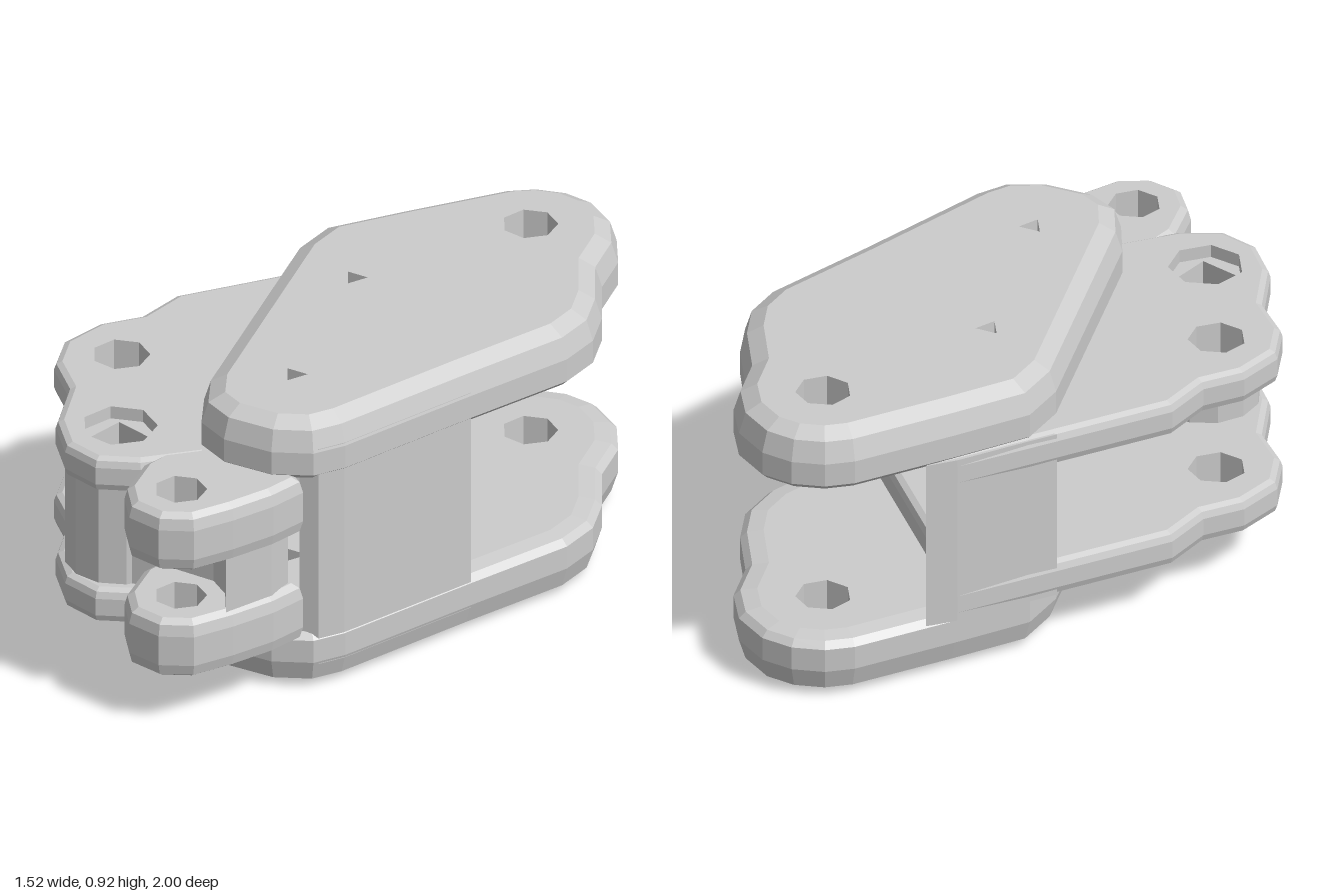
import * as THREE from 'three';

const MID = 0.465; // height of the horizontal mirror plane
const grey = new THREE.MeshStandardMaterial({ color: 0xcccccc, flatShading: true });

// Horizontal slab from an (x, z) outline; holes are [x, z, radius, sides].
function slab(name, outline, y0, y1, { holes = [], size = 0, thick = 0, inner = 1 } = {}) {
  const points = outline.map(([x, z]) => new THREE.Vector2(x, z));
  if (THREE.ShapeUtils.isClockWise(points)) points.reverse();
  const shape = new THREE.Shape(points);
  for (const [hx, hz, r, n] of holes) {
    const pts = [];
    for (let i = 0; i < n; i++) {
      const a = -(i / n) * Math.PI * 2 - 0.4;
      pts.push(new THREE.Vector2(hx + r * Math.cos(a), hz + r * Math.sin(a)));
    }
    shape.holes.push(new THREE.Path(pts));
  }
  const geo = new THREE.ExtrudeGeometry(shape, {
    depth: y1 - y0 - 2 * thick, bevelEnabled: size > 0, bevelSize: size,
    bevelOffset: -size, bevelThickness: thick, bevelSegments: 2,
  });
  geo.rotateX(Math.PI / 2).translate(0, y1 - thick, 0);

  const p = geo.attributes.position;
  const innerY = y0 > MID ? y0 : y1;
  for (let i = 0; i < p.count; i++) {
    // keep the bores straight
    for (const [hx, hz, r, n] of holes) {
      const dx = p.getX(i) - hx, dz = p.getZ(i) - hz, d = Math.hypot(dx, dz);
      if (d < r + size * 1.04 / Math.cos(Math.PI / n)) {
        p.setXYZ(i, hx + dx / d * r, p.getY(i), hz + dz / d * r);
      }
    }
    // flatten the bevel on the side that faces the middle
    const off = p.getY(i) - innerY;
    if (Math.abs(off) <= thick + 1e-5) p.setY(i, innerY + off * inner);
  }
  geo.computeVertexNormals();
  const mesh = new THREE.Mesh(geo, grey);
  mesh.name = name;
  return mesh;
}

export function createModel() {
  const model = new THREE.Group();
  model.name = 'hingeBracket';

  const cover = [
    [-0.2, -0.53], [-0.02, -0.71], [0.22, -0.94], [0.3, -0.985], [0.4, -1.0], [0.5, -0.975], [0.6, -0.89],
    [0.655, -0.77], [0.665, -0.62], [0.735, -0.45], [0.76, -0.32], [0.73, -0.19], [0.545, 0.12],
    [0.31, 0.53], [0.24, 0.61], [0.12, 0.65], [-0.04, 0.635], [-0.14, 0.57], [-0.185, 0.44], [-0.235, -0.38],
  ];
  const sidePlate = [
    [0.05, -0.77], [-0.03, -0.71], [-0.2, -0.55], [-0.55, -0.22], [-0.6, -0.07], [-0.7, 0.02], [-0.76, 0.16],
    [-0.735, 0.29], [-0.64, 0.41], [-0.6, 0.6], [-0.52, 0.72], [-0.4, 0.77], [-0.27, 0.73],
    [-0.12, 0.62], [0.1, 0.62], [0.27, 0.55], [0.53, 0.11], [0.42, -0.05], [0.14, -0.45],
  ];
  const lug = [
    [-0.27, 0.72], [-0.265, 0.87], [-0.21, 0.965], [-0.1, 1.0], [0.0, 0.965], [0.085, 0.86],
    [0.165, 0.74], [0.215, 0.63], [0.12, 0.54], [-0.2, 0.54],
  ];
  const pins = [[0.02, -0.24, 0.04, 3], [0.07, 0.35, 0.04, 3]];

  // Parts that come in pairs, one above and one below the mirror plane
  for (const top of [true, false]) {
    const tag = top ? 'upper' : 'lower';
    const pair = (name, outline, lo, hi, opts) => model.add(slab(tag + name, outline,
      top ? lo : 2 * MID - hi, top ? hi : 2 * MID - lo, opts));
    pair('Cover', cover, 0.725, 0.925,
      { holes: [[0.385, -0.73, 0.085, 7], ...pins], size: 0.07, thick: 0.095, inner: 0.3 });
    pair('SidePlate', sidePlate, 0.635, 0.752,
      { holes: [[-0.565, 0.175, 0.088, 7], [-0.41, 0.56, 0.115, 7], ...pins], size: 0.025, thick: 0.03 });
    pair('FrontLug', lug, 0.55, 0.75,
      { holes: [[-0.1, 0.83, 0.08, 7]], size: 0.03, thick: 0.05 });
  }

  // Upright walls that join the two halves
  model.add(slab('rightWall', [
    [0.19, 0.6], [0.25, 0.595], [0.307, 0.53], [0.545, 0.115], [0.5, 0.05], [0.42, 0.04], [0.27, 0.28],
    [0.2, 0.43],
  ], 0.09, 0.84));
  model.add(slab('backWall', [
    [0.05, -0.77], [-0.03, -0.71], [-0.2, -0.545], [-0.27, -0.48], [-0.2, -0.475],
    [-0.13, -0.51], [-0.03, -0.6], [0.05, -0.7],
  ], 0.18, 0.745));
  model.add(slab('lugWall', [
    [-0.48, 0.69], [-0.2, 0.69], [-0.04, 0.715], [0.02, 0.77], [0.06, 0.86], [0.15, 0.72],
    [0.17, 0.64], [0.1, 0.59], [-0.28, 0.59], [-0.3, 0.66],
  ], 0.25, 0.68));

  // Hollow spool between the side plates
  const ring = Array.from({ length: 12 }, (_, i) => {
    const a = i / 12 * Math.PI * 2;
    return [-0.41 + 0.165 * Math.cos(a), 0.56 + 0.165 * Math.sin(a)];
  });
  model.add(slab('spool', ring, 0.22, 0.71, { holes: [[-0.41, 0.56, 0.09, 4]] }));
  return model;
}
